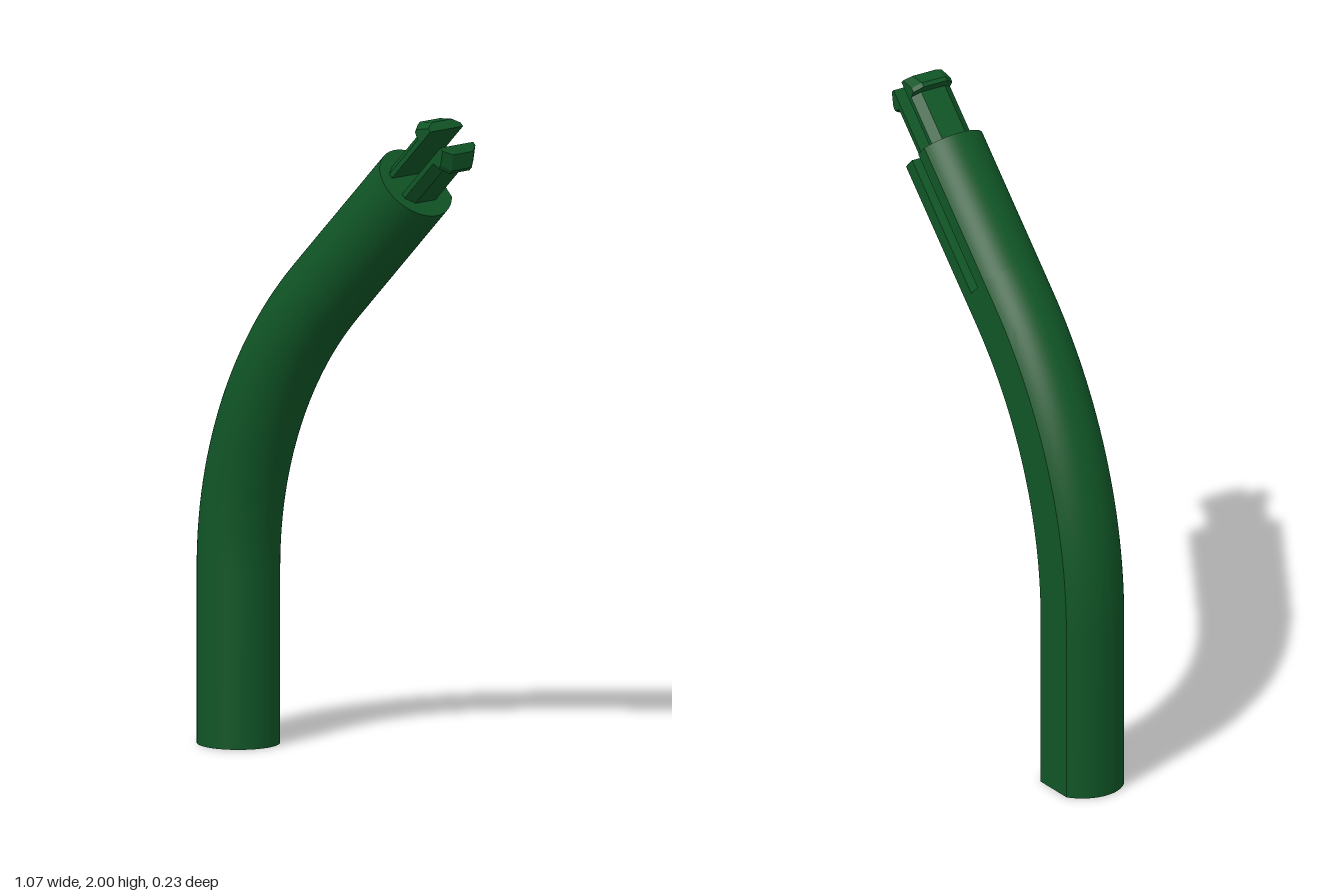
import * as THREE from 'three';
import { toCreasedNormals } from 'three/addons/utils/BufferGeometryUtils.js';

const AXIS_Z = -0.0105;                    // rod axis, offset because its back is flat
const R = 0.125, FLAT = -0.104;            // rod radius and distance to the flat
const BEND_R = 1.25, BEND_Y = 0.534, START_X = -0.415;
const END = [0.328, 1.795];                // centre of the slanted end face
const Q = Math.PI / 4;

// Joins counter-clockwise rings (arrays of Vector3) into a closed solid
function loft(rings, outline) {
  const pos = [];
  const tri = (...p) => p.forEach(v => pos.push(v.x, v.y, v.z));
  for (let k = 0; k < rings.length - 1; k++) {
    const a = rings[k], b = rings[k + 1];
    for (let i = 0; i < a.length; i++) {
      const j = (i + 1) % a.length;
      tri(a[i], a[j], b[j]);
      tri(a[i], b[j], b[i]);
    }
  }
  const first = rings[0], last = rings[rings.length - 1];
  for (const [a, b, c] of THREE.ShapeUtils.triangulateShape(outline, [])) {
    tri(first[a], first[c], first[b]);
    tri(last[a], last[b], last[c]);
  }
  const g = new THREE.BufferGeometry();
  g.setAttribute('position', new THREE.Float32BufferAttribute(pos, 3));
  return toCreasedNormals(g, 0.4);
}

// Places an outline (across the bend, z) at a point; angle is the lean from vertical
const place = (outline, x, y, angle) => outline.map(p =>
  new THREE.Vector3(x - p.x * Math.cos(angle), y + p.x * Math.sin(angle), p.y + AXIS_Z));

// Station along the slanted axis, measured from the end face
const slanted = (outline, s) => place(outline, END[0] + s * Math.SQRT1_2, END[1] + s * Math.SQRT1_2, Q);

// Round outline with a flat back, optionally with a keyway cut in the flat
function rodOutline(grooved) {
  const a0 = Math.asin(FLAT / R), a1 = Math.PI - a0, n = 56, pts = [];
  for (let i = 0; i <= n; i++) {
    const a = a0 + (a1 - a0) * i / n;
    pts.push(new THREE.Vector2(R * Math.cos(a), R * Math.sin(a)));
  }
  if (grooved) {
    const w = 0.023, d = -0.06;
    for (const [x, y] of [[-w, FLAT], [-w, d], [w, d], [w, FLAT]]) pts.push(new THREE.Vector2(x, y));
  }
  return pts;
}

// Prong outline: flat inside, chamfered outer corners
function prongOutline(inner, outer, side) {
  const c = Math.min(0.025, (outer - inner) * 0.6), h = 0.07, zc = -AXIS_Z;
  const pts = [[inner, -h], [outer - c, -h], [outer, -h + 0.025], [outer, h - 0.03], [outer - c, h], [inner, h]]
    .map(([x, z]) => new THREE.Vector2(x * side, z + zc));
  return side < 0 ? pts.reverse() : pts;
}

export function createModel() {
  const group = new THREE.Group();
  const green = new THREE.MeshStandardMaterial({ color: 0x105526 });
  green.name = 'dark green';
  const add = (name, geometry) => {
    const mesh = new THREE.Mesh(geometry, green);
    mesh.name = name;
    group.add(mesh);
  };

  // Bent rod: straight foot, 45 degree bend, start of the slanted arm
  const GROOVE = 0.45;
  const plain = rodOutline(false);
  const rings = [place(plain, START_X, 0, 0)];
  for (let i = 0; i <= 28; i++) {
    const a = Q * i / 28;
    rings.push(place(plain, START_X + BEND_R * (1 - Math.cos(a)), BEND_Y + BEND_R * Math.sin(a), a));
  }
  rings.push(slanted(plain, -GROOVE));
  add('bentRod', loft(rings, plain));

  // End of the arm with the keyway in its flat back
  const keyed = rodOutline(true);
  add('groovedArm', loft([slanted(keyed, -GROOVE), slanted(keyed, 0)], keyed));

  // Two snap prongs with barbed tips: [station, outer offset]
  const profile = [[-0.01, 0.07], [0.17, 0.07], [0.176, 0.094], [0.19, 0.094], [0.228, 0.062]];
  for (const side of [1, -1]) {
    const sections = profile.map(([s, outer]) => slanted(prongOutline(0.03, outer, side), s));
    add(side > 0 ? 'upperProng' : 'lowerProng', loft(sections, prongOutline(0.03, 0.07, side)));
  }
  return group;
}
